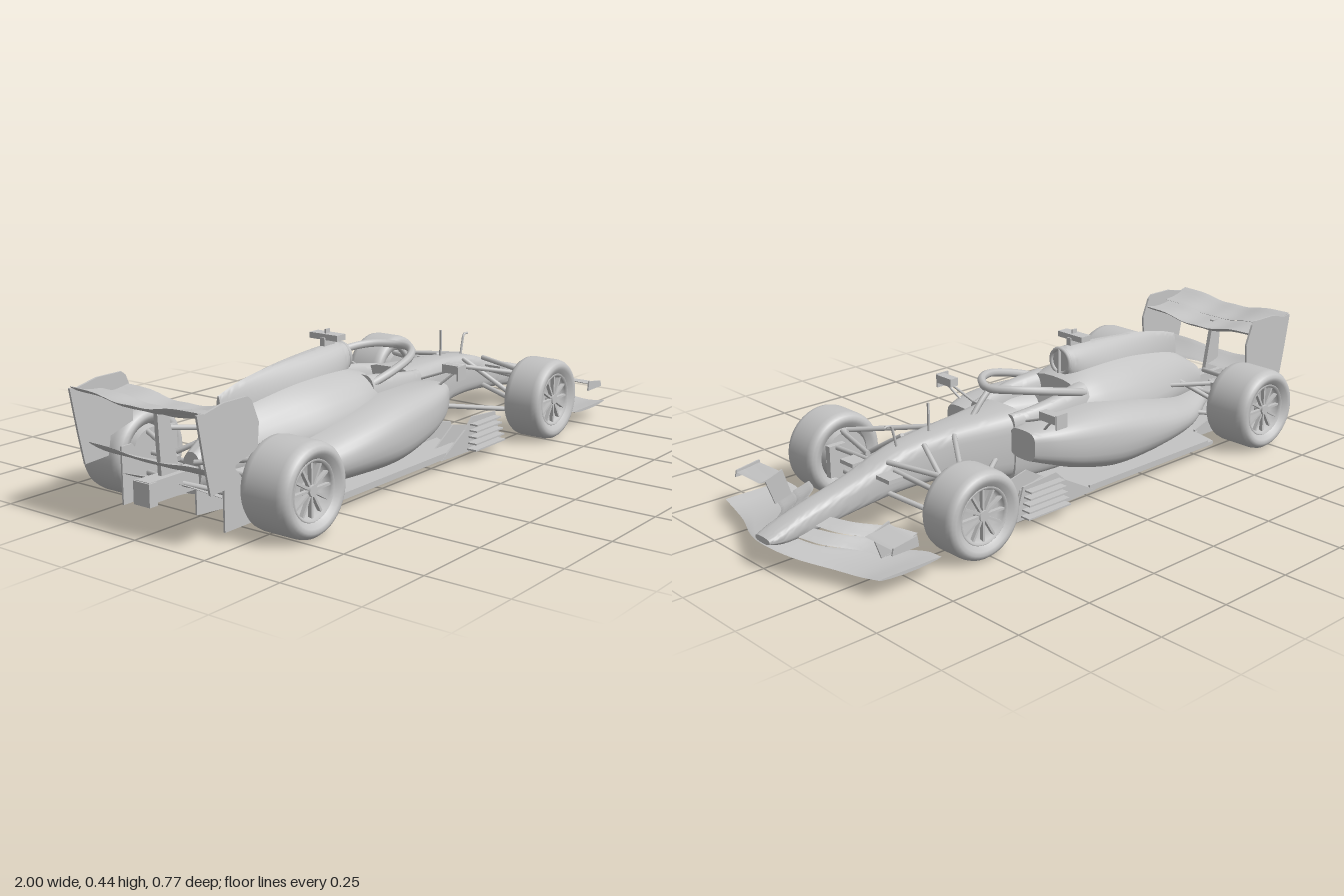
import * as THREE from 'three';
import { toCreasedNormals } from 'three/addons/utils/BufferGeometryUtils.js';

const V = (p) => new THREE.Vector3(...p);

export function createModel() {
  const car = new THREE.Group();
  car.name = 'racingCar';
  const grey = new THREE.MeshStandardMaterial({ color: 0xc4c4c4, side: THREE.DoubleSide });
  grey.name = 'bodyGrey';

  const add = (name, geo, parent = car) => {
    const m = new THREE.Mesh(geo, grey);
    m.name = name;
    parent.add(m);
    return m;
  };
  const box = (name, x, y, z, w, h, d, parent) => {
    const m = add(name, new THREE.BoxGeometry(w, h, d), parent);
    m.position.set(x, y, z);
    return m;
  };

  // Skin closed rings of points into a capped solid
  const skin = (rings, crease = 0.7) => {
    const n = rings[0].length, pos = [], idx = [];
    rings.forEach((r) => r.forEach((p) => pos.push(...p)));
    for (let i = 0; i < rings.length - 1; i++) for (let j = 0; j < n; j++) {
      const a = i * n + j, b = i * n + (j + 1) % n;
      idx.push(a, b, a + n, b, b + n, a + n);
    }
    [0, rings.length - 1].forEach((k) => {
      const c = pos.length / 3, mid = [0, 1, 2].map((d) => rings[k].reduce((s, p) => s + p[d], 0) / n);
      pos.push(...mid);
      for (let j = 0; j < n; j++) {
        const a = k * n + j, b = k * n + (j + 1) % n;
        if (k === 0) idx.push(c, b, a); else idx.push(c, a, b);
      }
    });
    const g = new THREE.BufferGeometry();
    g.setAttribute('position', new THREE.Float32BufferAttribute(pos, 3));
    g.setIndex(idx);
    return toCreasedNormals(g, crease);
  };

  // Loft of superellipses: [x, zCentre, halfWidth, yBottom, yTop, exponent]
  const loft = (secs, side = 1, steps = 48) => {
    const cols = [1, 2, 3, 4, 5].map((k) => new THREE.SplineCurve(secs.map((s) => new THREE.Vector2(s[0], s[k]))));
    const rings = [];
    for (let i = 0; i <= steps; i++) {
      const v = cols.map((c) => c.getPoint(i / steps));
      const [zc, hw, y0, y1, e] = v.map((p) => p.y);
      const ring = [];
      for (let j = 0; j < 32; j++) {
        const t = (j / 32) * Math.PI * 2, c = Math.cos(t), s = Math.sin(t);
        const f = (q) => Math.sign(q) * Math.pow(Math.abs(q), 2 / e);
        ring.push([v[0].x, (y0 + y1) / 2 + f(s) * (y1 - y0) / 2, side * (zc + f(c) * hw)]);
      }
      rings.push(ring);
    }
    return skin(rings);
  };

  // Aerofoil between a leading and a trailing edge, each a few [x, y, z] points
  const wing = (lead, trail, thick = 0.006, camber = 0.01) => {
    const a = new THREE.CatmullRomCurve3(lead.map(V)), b = new THREE.CatmullRomCurve3(trail.map(V));
    const rings = [];
    for (let i = 0; i <= 32; i++) {
      const p = a.getPoint(i / 32), q = b.getPoint(i / 32), ring = [];
      for (let j = 0; j < 14; j++) {
        const t = (j / 14) * Math.PI * 2, c = 0.5 - 0.5 * Math.cos(t);
        const r = p.clone().lerp(q, c);
        ring.push([r.x, r.y - camber * 4 * c * (1 - c) + thick * 0.5 * Math.sin(t), r.z]);
      }
      rings.push(ring);
    }
    return skin(rings, 1);
  };

  const plate = (pts, z, t = 0.006) =>
    new THREE.ExtrudeGeometry(new THREE.Shape(pts.map((p) => new THREE.Vector2(...p))), { depth: t, bevelEnabled: false })
      .translate(0, 0, z - t / 2);
  const tube = (pts, r, seg = 24) => new THREE.TubeGeometry(new THREE.CatmullRomCurve3(pts.map(V)), seg, r, 8);
  // Straight suspension arm
  const arm = (name, a, b, r = 0.008) => {
    const p = V(a), d = V(b).sub(p);
    const m = add(name, new THREE.CylinderGeometry(r, r, d.length(), 8));
    m.position.copy(p).addScaledVector(d, 0.5);
    m.quaternion.setFromUnitVectors(new THREE.Vector3(0, 1, 0), d.normalize());
  };

  // Nose and front chassis
  add('noseAndChassis', loft([
    [0.998, 0, 0.034, 0.076, 0.095, 2.6], [0.95, 0, 0.043, 0.066, 0.114, 3], [0.86, 0, 0.044, 0.07, 0.143, 3.2],
    [0.7, 0, 0.047, 0.09, 0.183, 3.5], [0.55, 0, 0.055, 0.105, 0.23, 3.8], [0.4, 0, 0.062, 0.1, 0.249, 4],
    [0.25, 0, 0.082, 0.06, 0.257, 4], [0.12, 0, 0.108, 0.04, 0.264, 4]]));
  // Cockpit
  box('cockpitFloor', 0.01, 0.11, 0, 0.26, 0.12, 0.16);
  box('seatBack', -0.08, 0.2, 0, 0.04, 0.1, 0.12).rotation.z = 0.3;
  add('steeringWheel', new THREE.CylinderGeometry(0.03, 0.03, 0.012, 16).rotateZ(1.3)).position.set(0.09, 0.215, 0);
  // Engine cover, shoulders flowing from the spine into the sidepods
  add('engineCover', loft([
    [-0.1, 0, 0.14, 0.03, 0.3, 2.8], [-0.2, 0, 0.165, 0.03, 0.325, 2], [-0.35, 0, 0.16, 0.02, 0.325, 1.75],
    [-0.5, 0, 0.125, 0.02, 0.305, 1.65], [-0.65, 0, 0.08, 0.04, 0.265, 1.7], [-0.78, 0, 0.035, 0.08, 0.19, 2.1]]));
  add('airboxSpine', loft([
    [-0.13, 0, 0.042, 0.295, 0.387, 2.2], [-0.2, 0, 0.055, 0.22, 0.388, 2], [-0.32, 0, 0.055, 0.18, 0.382, 1.8],
    [-0.45, 0, 0.042, 0.17, 0.37, 1.7], [-0.58, 0, 0.024, 0.17, 0.35, 1.7], [-0.67, 0, 0.01, 0.17, 0.325, 1.8]]));
  add('airIntakeRing', new THREE.TorusGeometry(0.04, 0.007, 8, 28).rotateY(Math.PI / 2)).position.set(-0.13, 0.343, 0);
  box('intakeDivider', -0.125, 0.343, 0, 0.012, 0.08, 0.006);
  // Roof camera
  box('cameraStalk', -0.19, 0.397, 0, 0.05, 0.03, 0.016);
  box('cameraBar', -0.19, 0.414, 0, 0.04, 0.018, 0.105);
  box('cameraAntenna', -0.19, 0.427, 0, 0.02, 0.018, 0.005);
  // Halo
  add('haloHoop', tube([[-0.12, 0.27, 0.115], [-0.04, 0.294, 0.128], [0.06, 0.318, 0.12], [0.14, 0.328, 0.07], [0.175, 0.325, 0],
    [0.14, 0.328, -0.07], [0.06, 0.318, -0.12], [-0.04, 0.294, -0.128], [-0.12, 0.27, -0.115]], 0.013, 60));
  add('haloPillar', tube([[0.17, 0.322, 0], [0.205, 0.29, 0], [0.24, 0.25, 0]], 0.009));
  // Antennas
  box('frontAntenna', 0.41, 0.29, 0, 0.006, 0.09, 0.006);
  add('pitotTube', tube([[0.53, 0.225, 0], [0.54, 0.27, 0], [0.55, 0.298, 0], [0.57, 0.3, 0]], 0.004));

  // Floor
  const half = [[0.34, 0.03], [0.27, 0.07], [0.19, 0.12], [0.15, 0.19], [0.16, 0.27], [0.06, 0.287], [-0.55, 0.287], [-0.57, 0.2], [-0.62, 0.18]];
  const outline = [...half, ...half.map(([x, z]) => [x, -z]).reverse()];
  add('floor', plate(outline, 0, 0.012).rotateX(Math.PI / 2)).position.y = 0.038;
  box('plank', -0.12, 0.028, 0, 0.92, 0.014, 0.15);
  add('diffuserRamp', wing([[-0.58, 0.04, 0.19], [-0.58, 0.04, 0], [-0.58, 0.04, -0.19]],
    [[-0.86, 0.115, 0.19], [-0.86, 0.125, 0], [-0.86, 0.115, -0.19]], 0.008, 0.012));
  box('crashStructure', -0.84, 0.122, 0, 0.25, 0.06, 0.05);
  box('rainLight', -0.955, 0.118, 0, 0.03, 0.065, 0.06);

  // Rear wing
  const sweep = (tip) => [...tip, ...tip.slice(0, -1).reverse().map(([x, y, z]) => [x, y, -z])];
  const span = (x, yMid, yEnd, w) => sweep([[x, yEnd, w], [x, yEnd * 0.8 + yMid * 0.2, w * 0.6], [x, yMid, w * 0.25], [x, yMid, 0]]);
  add('rearMainPlane', wing(span(-0.785, 0.328, 0.348, 0.232), span(-0.91, 0.332, 0.348, 0.232), 0.014, 0.014));
  add('rearFlap', wing(span(-0.885, 0.34, 0.355, 0.232), span(-0.995, 0.363, 0.38, 0.232), 0.009, 0.01));
  add('beamWing', wing(span(-0.85, 0.175, 0.17, 0.17), span(-0.94, 0.205, 0.215, 0.23), 0.008, 0.008));
  add('rearWingPylon', plate([[-0.83, 0.13], [-0.9, 0.13], [-0.91, 0.33], [-0.87, 0.33]], 0, 0.014));

  // Front wing main plane, swept, with broad flat tips
  add('frontMainPlane', wing(
    sweep([[0.885, 0.056, 0.366], [0.895, 0.046, 0.3], [0.918, 0.046, 0.22], [0.972, 0.058, 0.1], [0.994, 0.068, 0]]),
    sweep([[0.675, 0.056, 0.366], [0.675, 0.05, 0.3], [0.745, 0.05, 0.22], [0.88, 0.064, 0.1], [0.91, 0.074, 0]]), 0.01, 0.004));

  // Wheel, outer face towards +z
  const wheel = (name, x, z, R, w, side) => {
    const g = new THREE.Group();
    g.name = name;
    const prof = [[0.084, -0.8], [0.1, -0.97], [0.112, -1], [0.122, -0.93], [R - 0.003, -0.8], [R, -0.6], [R, 0.6],
      [R - 0.003, 0.8], [0.122, 0.93], [0.112, 1], [0.1, 0.97], [0.084, 0.8]].map(([r, y]) => new THREE.Vector2(r, y * w));
    add('tyre', new THREE.LatheGeometry(prof, 48).rotateX(Math.PI / 2), g);
    const rim = [[0.001, 0.45], [0.07, 0.45], [0.076, 0.75], [0.082, 0.86], [0.087, 0.8]].map(([r, y]) => new THREE.Vector2(r, y * w));
    add('rimDish', new THREE.LatheGeometry(rim.reverse(), 40).rotateX(Math.PI / 2), g);
    add('hub', new THREE.CylinderGeometry(0.016, 0.02, w * 0.4, 16).rotateX(Math.PI / 2), g).position.z = w * 0.62;
    for (let i = 0; i < 12; i++) {
      const a = (i / 12) * Math.PI * 2;
      box('spoke', Math.cos(a) * 0.046, Math.sin(a) * 0.046, w * 0.68, 0.064, 0.007, 0.012, g).rotation.z = a;
    }
    add('brakeDrum', new THREE.CylinderGeometry(0.084, 0.075, w * 1.1, 32).rotateX(Math.PI / 2), g).position.z = -w * 0.4;
    g.position.set(x, R, side * z);
    g.rotation.y = side > 0 ? 0 : Math.PI;
    car.add(g);
  };

  for (const s of [1, -1]) {
    const L = s > 0 ? 'left' : 'right';
    wheel(L + 'RearWheel', -0.71, 0.302, 0.133, 0.084, s);
    wheel(L + 'FrontWheel', 0.526, 0.319, 0.131, 0.067, s);
    // Sidepod, undercut at the front and sloping down to the floor at the rear
    add(L + 'Sidepod', loft([
      [0.17, 0.145, 0.055, 0.135, 0.228, 3.5], [0.1, 0.15, 0.085, 0.11, 0.238, 3.2], [0, 0.145, 0.115, 0.075, 0.244, 3],
      [-0.15, 0.135, 0.138, 0.04, 0.24, 2.7], [-0.3, 0.125, 0.142, 0.036, 0.215, 2.4], [-0.45, 0.105, 0.13, 0.036, 0.178, 2.2],
      [-0.6, 0.075, 0.1, 0.036, 0.14, 2.1], [-0.76, 0.035, 0.05, 0.06, 0.125, 2.1]], s));
    // Cockpit side and lower chassis flank
    add(L + 'CockpitSide', loft([
      [0.16, 0.08, 0.025, 0.05, 0.257, 3], [0.08, 0.096, 0.03, 0.05, 0.268, 3], [-0.02, 0.102, 0.036, 0.05, 0.282, 3], [-0.13, 0.09, 0.045, 0.05, 0.296, 3]], s));
    // Mirror
    box(L + 'Mirror', 0.14, 0.285, s * 0.235, 0.03, 0.026, 0.07);
    box(L + 'MirrorFin', 0.13, 0.278, s * 0.269, 0.045, 0.045, 0.005);
    arm(L + 'MirrorStay', [0.13, 0.24, s * 0.12], [0.14, 0.278, s * 0.22], 0.004);
    arm(L + 'MirrorPost', [0.12, 0.22, s * 0.18], [0.14, 0.275, s * 0.24], 0.004);
    // Floor fence with louvres
    add(L + 'FloorFence', plate([[0.34, 0.022], [0.325, 0.05], [0.3, 0.125], [0.17, 0.135], [0.13, 0.1], [0, 0.03]], s * 0.285));
    for (let i = 0; i < 5; i++) box(L + 'FenceLouvre', 0.225, 0.036 + i * 0.019, s * (0.304 - i * 0.002), 0.17 - i * 0.008, 0.005, 0.036);
    [0.15, 0.22].forEach((z) => add(L + 'TurningVane', plate([[0.27, 0.03], [0.25, 0.08], [0.16, 0.1], [0.05, 0.035]], s * z, 0.005)));
    box(L + 'FloorEdgeWing', -0.25, 0.045, s * 0.284, 0.55, 0.012, 0.006);
    add(L + 'DiffuserWall', plate([[-0.57, 0.024], [-0.86, 0.022], [-0.86, 0.19], [-0.82, 0.19], [-0.74, 0.1], [-0.57, 0.05]], s * 0.19));
    add(L + 'DiffuserStrake', plate([[-0.62, 0.03], [-0.86, 0.05], [-0.86, 0.118], [-0.6, 0.045]], s * 0.09));
    // Rear wing endplate
    add(L + 'RearEndplate', plate([[-0.998, 0.375], [-0.97, 0.372], [-0.9, 0.387], [-0.81, 0.387], [-0.795, 0.375], [-0.768, 0.31],
      [-0.775, 0.24], [-0.86, 0.215], [-0.87, 0.16], [-0.955, 0.155], [-0.975, 0.25]], s * 0.232, 0.007));
    // Inboard front wing flaps
    for (let i = 0; i < 2; i++) {
      const x = 0.055 * i, y = 0.018 * i;
      add(L + 'FrontFlap', wing(
        [[0.91 - x, 0.078 + y, s * 0.04], [0.88 - x, 0.07 + y, s * 0.11], [0.81 - x, 0.057 + y, s * 0.19], [0.78 - x, 0.052 + y, s * 0.255]],
        [[0.86 - x, 0.09 + y, s * 0.04], [0.825 - x, 0.085 + y, s * 0.11], [0.75 - x, 0.074 + y, s * 0.19], [0.72 - x, 0.068 + y, s * 0.255]], 0.006, 0.003));
    }
    // Raised winglet at the wing tip, on a slim stem
    add(L + 'TipWinglet', wing([[0.84, 0.128, s * 0.25], [0.84, 0.128, s * 0.37]], [[0.76, 0.142, s * 0.25], [0.76, 0.138, s * 0.37]], 0.006, 0.003));
    add(L + 'WingletFin', plate([[0.845, 0.115], [0.84, 0.135], [0.76, 0.147], [0.755, 0.115]], s * 0.37, 0.005));
    add(L + 'WingletStem', plate([[0.79, 0.05], [0.82, 0.13], [0.76, 0.15], [0.73, 0.06]], s * 0.252, 0.005));
    box(L + 'NoseCamera', 0.625, 0.186, s * 0.085, 0.05, 0.012, 0.06);
    // Front suspension
    const fw = s * 0.265;
    [[[0.36, 0.235, 0.055], [0.51, 0.205]], [[0.6, 0.215, 0.045], [0.53, 0.205]], [[0.22, 0.13, 0.08], [0.5, 0.085]],
      [[0.6, 0.12, 0.045], [0.54, 0.085]], [[0.58, 0.185, 0.045], [0.57, 0.17]], [[0.47, 0.235, 0.05], [0.52, 0.1]]]
      .forEach(([a, b]) => arm(L + 'FrontArm', [a[0], a[1], s * a[2]], [b[0], b[1], fw]));
    box(L + 'FrontBrakeDuct', 0.57, 0.13, s * 0.245, 0.06, 0.1, 0.02);
    // Rear suspension
    const rw = s * 0.235;
    [[[-0.52, 0.19, 0.08], [-0.69, 0.2]], [[-0.8, 0.17, 0.03], [-0.72, 0.2]], [[-0.55, 0.1, 0.08], [-0.69, 0.085]],
      [[-0.84, 0.12, 0.025], [-0.74, 0.085]], [[-0.71, 0.13, 0.04], [-0.71, 0.133]], [[-0.6, 0.2, 0.05], [-0.7, 0.1]]]
      .forEach(([a, b]) => arm(L + 'RearArm', [a[0], a[1], s * a[2]], [b[0], b[1], rw]));
    box(L + 'RearBrakeDuct', -0.66, 0.14, s * 0.21, 0.06, 0.13, 0.016);
  }
  return car;
}
